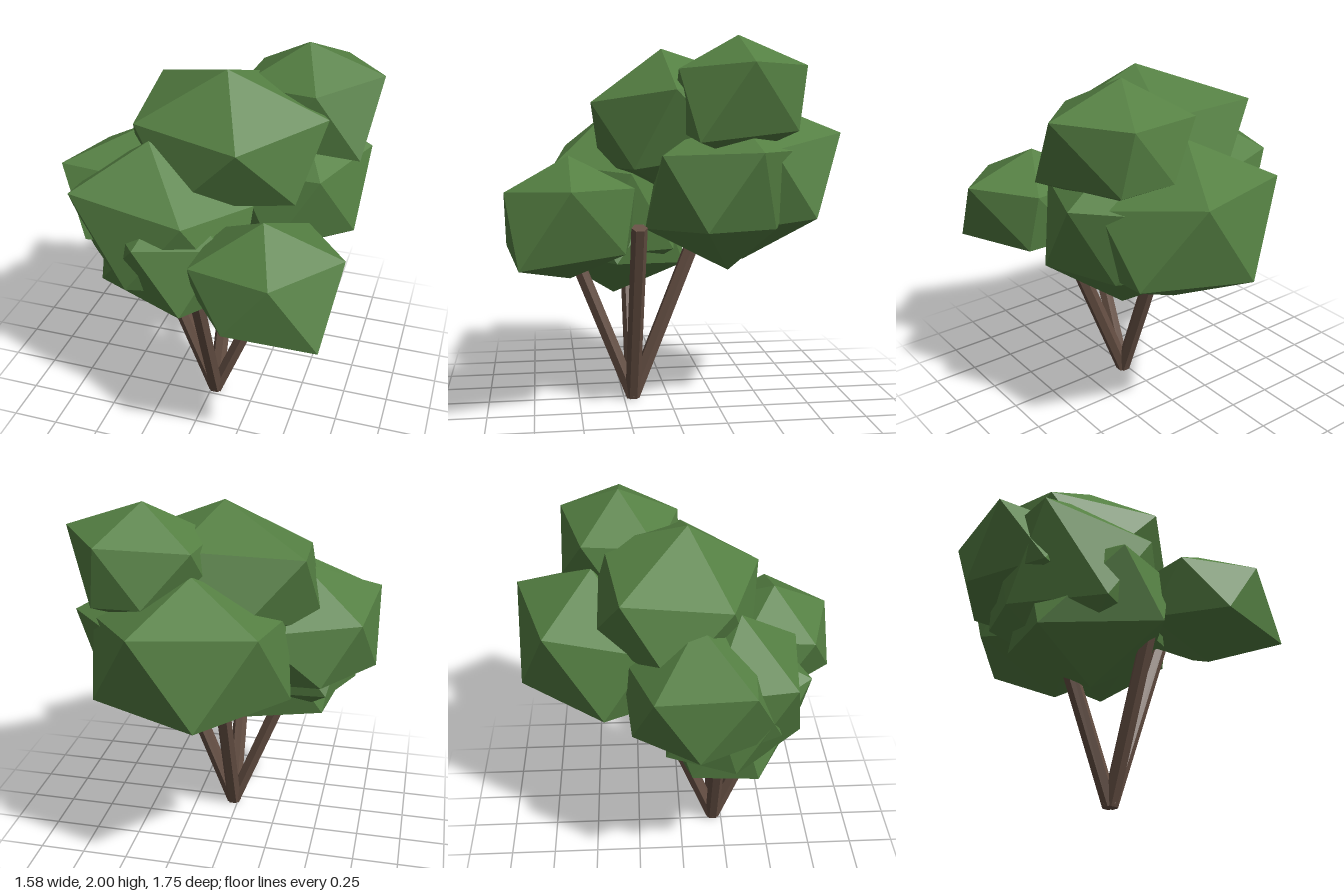
import * as THREE from 'three';
import { ConvexGeometry } from 'three/addons/geometries/ConvexGeometry.js';

const leafGreen = new THREE.MeshStandardMaterial({ color: 0x558043, flatShading: true });
leafGreen.name = 'leaf green';
const barkBrown = new THREE.MeshStandardMaterial({ color: 0x665044, flatShading: true });
barkBrown.name = 'bark brown';

const V = (p) => new THREE.Vector3(...p);

// Irregular icosahedron given by its centre, its top corner and two
// neighbouring corners of the upper ring; the rest follows by symmetry.
// Corners: 0 top, 1-5 upper ring, 6 bottom, 7-11 opposite the upper ring.
// "moved" pulls single corners elsewhere for a hand-shaped look.
function lobeGeometry(centre, top, first, second, moved = {}) {
  const c = V(centre);
  const pole = V(top).sub(c);
  const lift = pole.clone().multiplyScalar(1 / Math.sqrt(5));
  const ring = [first, second].map((p) => V(p).sub(c).sub(lift));
  const step = 2 * Math.cos((2 * Math.PI) / 5);
  for (let i = 2; i < 5; i++) {
    ring.push(ring[i - 1].clone().multiplyScalar(step).sub(ring[i - 2]));
  }
  const upper = [pole, ...ring.map((r) => r.clone().add(lift))];
  const lower = upper.map((p) => p.clone().negate());
  const corners = [...upper, ...lower].map((p) => p.add(c));
  for (const i in moved) corners[i] = V(moved[i]);
  return new ConvexGeometry(corners);
}

export function createModel() {
  const tree = new THREE.Group();
  tree.name = 'tree';

  const add = (parent, name, geometry, material) => {
    const mesh = new THREE.Mesh(geometry, material);
    mesh.name = name;
    parent.add(mesh);
    return mesh;
  };

  // Foliage
  const foliage = new THREE.Group();
  foliage.name = 'foliage';
  tree.add(foliage);
  const addLobe = (name, ...shape) => add(foliage, name, lobeGeometry(...shape), leafGreen);

  addLobe('crownLobe', [0.03, 1.54, -0.02], [0.04, 1.94, 0.04], [0.57, 1.73, 0.03], [0.2, 1.66, 0.43],
    { 4: [-0.44, 1.75, -0.31] });
  addLobe('leftLobe', [0.36, 1.215, -0.27], [0.36, 1.64, -0.27], [0.74, 1.43, -0.37], [0.4, 1.42, -0.7],
    { 10: [0.55, 1.03, -0.48] });
  addLobe('rightLobe', [-0.4, 1.21, 0.08], [-0.37, 1.61, 0.07], [-0.78, 1.43, 0.325], [-0.72, 1.37, -0.16],
    { 5: [-0.35, 1.42, 0.36], 6: [-0.4, 0.92, 0.08], 10: [-0.79, 1.065, 0.06], 11: [-0.53, 1.05, -0.27] });
  addLobe('frontRightLobe', [-0.28, 1.12, 0.26], [-0.3, 1.61, 0.29], [-0.65, 1.38, 0.54], [-0.02, 1.32, 0.62],
    { 5: [-0.65, 1.34, 0.12], 9: [-0.67, 0.9, 0.25] });
  addLobe('backLobe', [0.11, 1.24, -0.43], [0.1, 1.68, -0.46], [0.31, 1.5, -0.88], [-0.28, 1.48, -0.71],
    { 10: [0, 1.04, -0.87] });
  addLobe('lowLobe', [-0.17, 0.97, 0.29], [-0.17, 1.37, 0.29], [-0.26, 1.19, 0.68], [0.17, 1.19, 0.54],
    { 9: [-0.57, 0.78, 0.38] });

  // Two equal small lobes: one high at the back, one low at the front
  const small = lobeGeometry([0.02, -0.31, 0], [0, 0, 0], [0.405, -0.14, 0], [0.11, -0.17, 0.32],
    { 9: [0.2, -0.475, -0.27], 10: [0.345, -0.52, 0.25] });
  add(foliage, 'highBackLobe', small, leafGreen).position.set(0.38, 2.0, -0.31);
  add(foliage, 'lowFrontLobe', small, leafGreen).position.set(0.38, 1.4, 0.555);

  // Four stems fanning out from one foot: left, back, right, front
  const stems = new THREE.Group();
  stems.name = 'stems';
  stems.position.set(0.025, 0.015, 0.2);
  tree.add(stems);
  ['leftStem', 'backStem', 'rightStem', 'frontStem'].forEach((name, i) => {
    const length = name === 'frontStem' ? 1.0 : 1.09;
    const geometry = new THREE.CylinderGeometry(0.042, 0.042, length, 6)
      .translate(0, length / 2, 0)
      .rotateZ(-0.372)
      .rotateY((i * Math.PI) / 2);
    add(stems, name, geometry, barkBrown);
  });

  return tree;
}
